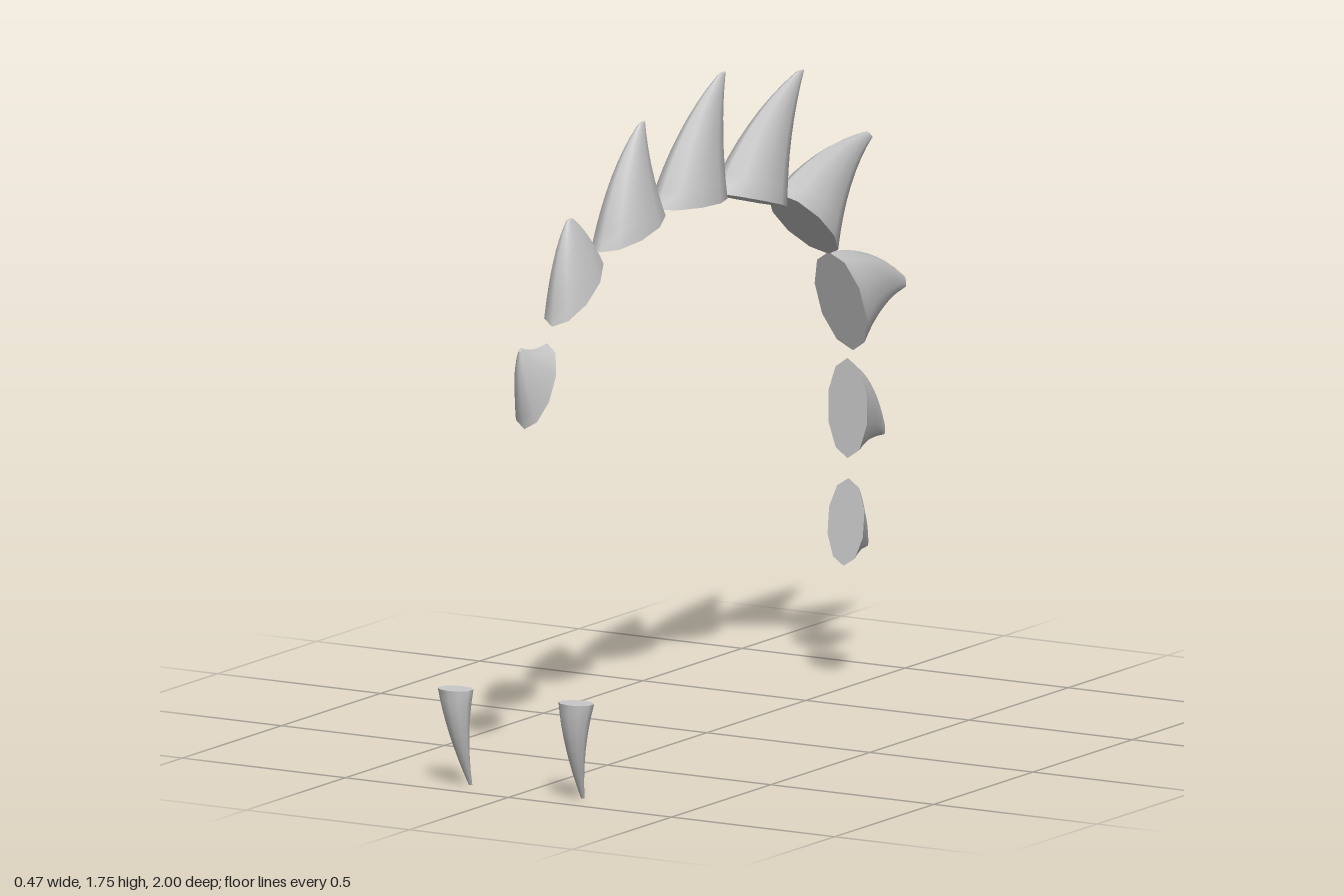
import * as THREE from 'three';

const SIDES = 10, STEPS = 8;

// Curve through start, middle and end points given as [z, y]
function edge([a, m, b]) {
  const p = a.map((v, i) => 2 * m[i] - (v + b[i]) / 2);
  return new THREE.QuadraticBezierCurve(new THREE.Vector2(...a), new THREE.Vector2(...p), new THREE.Vector2(...b));
}

// Curved horn lofted between two side-profile edges, with flat caps
function hornGeometry(front, back, width, tipWidth, tipShift = 0) {
  const f = edge(front), b = edge(back), pos = [], idx = [];
  const ring = (t) => {
    const p = f.getPoint(t), q = b.getPoint(t);
    const w = width + (tipWidth - width) * t;
    for (let j = 0; j < SIDES; j++) {
      const a = (j / SIDES) * Math.PI * 2, c = Math.cos(a) / 2;
      pos.push(tipShift * t + w * Math.sin(a), (p.y + q.y) / 2 + (p.y - q.y) * c, (p.x + q.x) / 2 + (p.x - q.x) * c);
    }
  };
  for (let i = 0; i <= STEPS; i++) ring(i / STEPS);
  for (let i = 0; i < STEPS; i++) {
    for (let j = 0; j < SIDES; j++) {
      const k = (j + 1) % SIDES, r = i * SIDES, s = r + SIDES;
      idx.push(r + j, r + k, s + k, r + j, s + k, s + j);
    }
  }
  // Caps have their own vertices so their rims stay sharp
  for (const t of [0, 1]) {
    const o = pos.length / 3;
    ring(t);
    for (let j = 1; j < SIDES - 1; j++) idx.push(o, o + j + (t ? 0 : 1), o + j + (t ? 1 : 0));
  }
  const g = new THREE.BufferGeometry();
  g.setAttribute('position', new THREE.Float32BufferAttribute(pos, 3));
  g.setIndex(idx);
  g.computeVertexNormals();
  return g;
}

// Each spike: front edge, back edge, half width
const SPIKES = [
  [[[0.92, 0.97], [0.945, 1.09], [0.945, 1.18]], [[0.805, 1.18], [0.876, 1.176], [0.935, 1.19]], 0.055],
  [[[0.78, 1.22], [0.753, 1.383], [0.705, 1.49]], [[0.56, 1.372], [0.614, 1.442], [0.678, 1.493]], 0.063],
  [[[0.539, 1.377], [0.458, 1.56], [0.346, 1.683]], [[0.249, 1.44], [0.297, 1.565], [0.313, 1.69]], 0.072],
  [[[0.249, 1.44], [0.12, 1.618], [-0.056, 1.747]], [[-0.062, 1.425], [-0.062, 1.597], [-0.094, 1.752]], 0.075],
  [[[-0.062, 1.43], [-0.233, 1.586], [-0.453, 1.688]], [[-0.362, 1.345], [-0.405, 1.522], [-0.49, 1.688]], 0.076],
  [[[-0.362, 1.377], [-0.576, 1.452], [-0.807, 1.468]], [[-0.614, 1.174], [-0.7, 1.334], [-0.833, 1.447]], 0.075],
  [[[-0.614, 1.179], [-0.812, 1.141], [-0.994, 1.05]], [[-0.737, 0.895], [-0.855, 0.975], [-1, 1.018]], 0.072],
  [[[-0.71, 0.879], [-0.812, 0.793], [-0.892, 0.675]], [[-0.71, 0.611], [-0.801, 0.64], [-0.892, 0.643]], 0.062],
  [[[-0.715, 0.557], [-0.769, 0.477], [-0.807, 0.386]], [[-0.689, 0.327], [-0.742, 0.348], [-0.807, 0.359]], 0.057],
];

export function createModel() {
  const model = new THREE.Group();
  const bone = new THREE.MeshStandardMaterial({ color: 0xc8c8c8 });
  bone.name = 'bone grey';

  // Arch of back spikes
  const crest = new THREE.Group();
  crest.name = 'spikeCrest';
  SPIKES.forEach(([front, back, width], i) => {
    const spike = new THREE.Mesh(hornGeometry(front, back, width, 0.005), bone);
    spike.name = `spike${i + 1}`;
    crest.add(spike);
  });
  model.add(crest);

  // Pair of fangs pointing down, tips leaning inwards
  for (const side of [1, -1]) {
    const fang = new THREE.Mesh(hornGeometry(
      [[0.924, 0.265], [0.93, 0.134], [0.904, 0]],
      [[1, 0.265], [0.978, 0.145], [0.912, 0]], 0.05, 0.005, -side * 0.013), bone);
    fang.name = side > 0 ? 'leftFang' : 'rightFang';
    fang.position.x = side * 0.185;
    model.add(fang);
  }
  return model;
}
